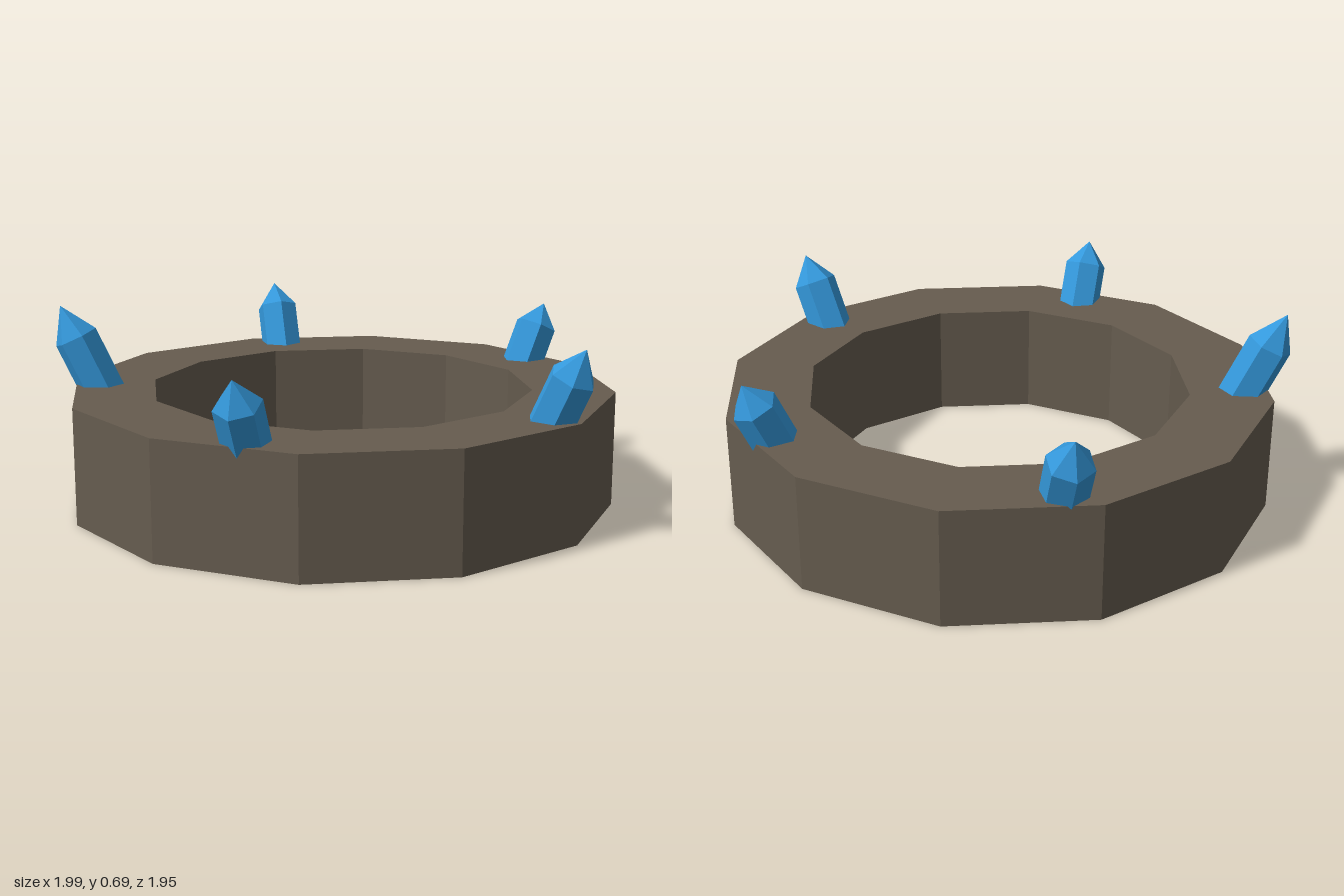
import * as THREE from 'three';

const flat = (color) => new THREE.MeshStandardMaterial({ color, flatShading: true });
const lathe = (profile, sides, start = 0) =>
  new THREE.LatheGeometry(profile.map(([r, y]) => new THREE.Vector2(r, y)), sides, start);

export function createModel() {
  const model = new THREE.Group();
  model.name = 'crystalRing';
  model.position.x = -0.022;

  // Twelve-sided stone ring with a square section
  const inner = 0.685, outer = 0.977, height = 0.41;
  const ring = new THREE.Mesh(
    lathe([[inner, 0], [outer, 0], [outer, height], [inner, height], [inner, 0]], 12),
    flat(0x665c4f)
  );
  ring.name = 'stoneRing';
  model.add(ring);

  // Five six-sided crystals leaning outwards, each with its own length above the ring
  const crystalMaterial = flat(0x3498db);
  const radius = 0.08, lean = 0.435;
  [0.27, 0.237, 0.313, 0.253, 0.228].forEach((length, i) => {
    const shoulder = length * 0.6;
    const crystal = new THREE.Mesh(
      lathe([[0, -0.1], [radius, -0.1], [radius, shoulder], [0, length]], 6, Math.PI / 2),
      crystalMaterial
    );
    crystal.name = 'crystal' + (i + 1);
    crystal.position.set(0.873, height, 0);
    crystal.rotation.z = -lean;

    const spoke = new THREE.Group();
    spoke.name = 'crystalSpoke' + (i + 1);
    spoke.rotation.y = -i * Math.PI * 2 / 5;
    spoke.add(crystal);
    model.add(spoke);
  });

  const group = new THREE.Group();
  group.add(model);
  return group;
}
